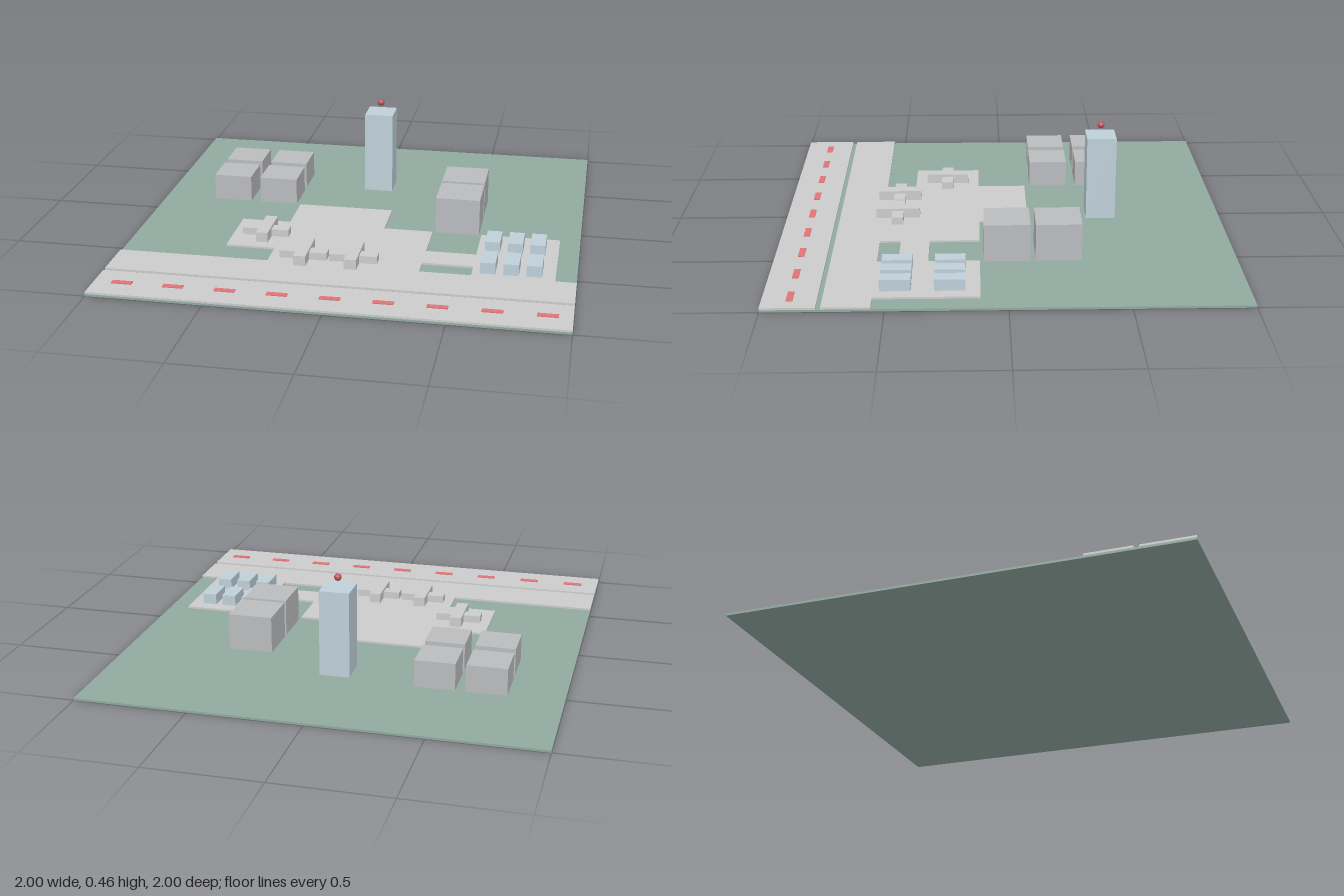
import * as THREE from 'three';

const mat = (color) => new THREE.MeshStandardMaterial({ color });
const green = mat(0x91a99f), paving = mat(0xcccccc), wall = mat(0xbabbbe);
const blue = mat(0xbfd0d9), red = mat(0xe07377), darkRed = mat(0xb85558);
const GROUND = 0.01, PAVED = 0.019;

export function createModel() {
  const model = new THREE.Group();

  // Box placed by its centre in plan and its bottom and top heights
  function box(name, material, x, z, width, depth, bottom, top, parent = model) {
    const mesh = new THREE.Mesh(new THREE.BoxGeometry(width, top - bottom, depth), material);
    mesh.position.set(x, (bottom + top) / 2, z);
    mesh.name = name;
    parent.add(mesh);
    return mesh;
  }

  // Ground slab and runway with dashed centre line
  box('ground', green, 0, 0, 2, 2, 0, GROUND);
  box('runway', paving, 0, 0.8875, 2, 0.225, GROUND, PAVED);
  for (let i = 0; i < 9; i++) {
    box('runwayDash', red, -0.878 + i * 0.222, 0.886, 0.087, 0.027, PAVED, 0.023);
  }

  // Taxiway, apron and parking lot as one paved outline (x, z) with a green gap
  const points = (list) => list.map(([x, z]) => new THREE.Vector2(x, -z));
  const outline = new THREE.Shape(points([
    [-1, 0.755], [1, 0.755], [1, 0.555], [0.91, 0.555], [0.91, 0.113], [0.555, 0.113],
    [0.555, 0.335], [0.333, 0.335], [0.333, 0.113], [0.11, 0.113], [0.11, -0.11],
    [-0.333, -0.11], [-0.333, 0.113], [-0.555, 0.113], [-0.555, 0.417],
    [-0.333, 0.417], [-0.333, 0.555], [-1, 0.555],
  ]));
  outline.holes.push(new THREE.Path(points([
    [0.333, 0.463], [0.333, 0.555], [0.555, 0.555], [0.555, 0.463],
  ])));
  const apron = new THREE.Mesh(
    new THREE.ExtrudeGeometry(outline, { depth: PAVED - GROUND, bevelEnabled: false }), paving);
  apron.rotation.x = -Math.PI / 2;
  apron.position.y = GROUND;
  apron.name = 'apron';
  model.add(apron);

  // Four small hangars and two large ones
  for (const x of [-0.669, -0.446]) {
    for (const z of [-0.448, -0.225]) box('hangar', wall, x, z, 0.178, 0.178, GROUND, 0.132);
  }
  for (const z of [-0.227, -0.004]) box('terminal', wall, 0.443, z, 0.2, 0.2, GROUND, 0.177);

  // Control tower with a beacon hovering above it
  box('controlTower', blue, 0, -0.447, 0.134, 0.134, GROUND, 0.397);
  const beacon = new THREE.Mesh(new THREE.SphereGeometry(0.016, 24, 16), darkRed);
  beacon.position.set(0, 0.443, -0.447);
  beacon.name = 'beacon';
  model.add(beacon);

  // Parked vehicles
  for (const x of [0.622, 0.722, 0.82]) {
    for (const z of [0.239, 0.464]) box('vehicle', blue, x, z, 0.066, 0.13, PAVED, 0.069);
  }

  // Parked aircraft: crossed fuselage and wing
  for (const [x, z] of [[-0.405, 0.264], [-0.184, 0.487], [0.038, 0.487]]) {
    const plane = new THREE.Group();
    plane.name = 'aircraft';
    plane.position.set(x, 0, z);
    box('fuselage', paving, 0, 0, 0.054, 0.2, PAVED, 0.064, plane);
    box('wing', paving, 0, 0, 0.21, 0.054, PAVED, 0.052, plane);
    model.add(plane);
  }

  return model;
}
